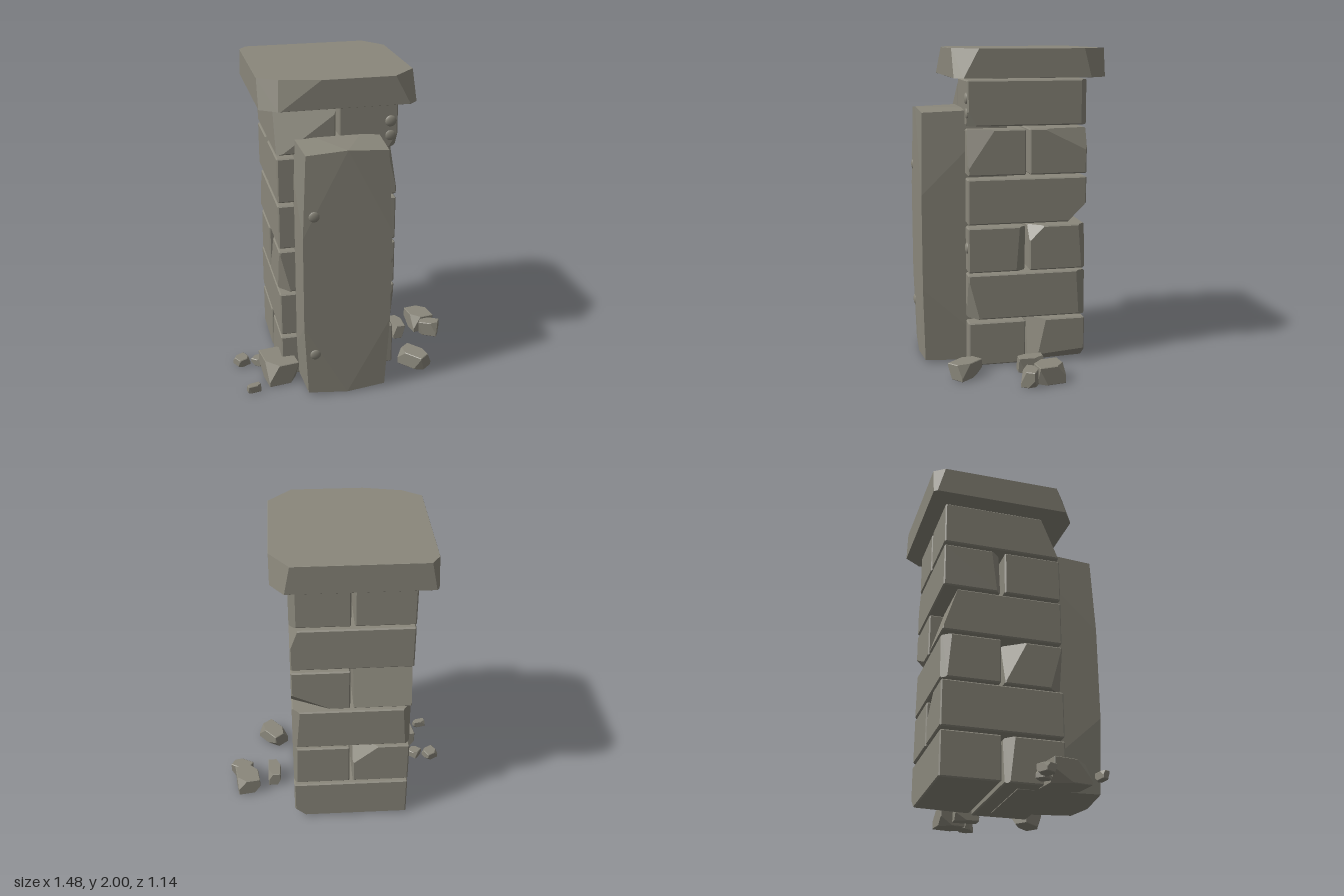
import * as THREE from 'three';
import { ConvexGeometry } from 'three/addons/geometries/ConvexGeometry.js';

const I = Infinity;

// The six faces of a box as corner loops
function boxFaces(lo, hi) {
  const faces = [];
  for (let a = 0; a < 3; a++) for (const top of [0, 1]) {
    const loop = [[0, 0], [1, 0], [1, 1], [0, 1]].map(([u, v]) => {
      const c = [0, 0, 0];
      c[a] = top ? hi[a] : lo[a];
      c[(a + 1) % 3] = u ? hi[(a + 1) % 3] : lo[(a + 1) % 3];
      c[(a + 2) % 3] = v ? hi[(a + 2) % 3] : lo[(a + 2) % 3];
      return new THREE.Vector3(...c);
    });
    faces.push(top ? loop : loop.reverse());
  }
  return faces;
}

// Cuts a corner off: sign picks the corner, d is the cut length along each axis
function chipOff(faces, lo, hi, [sign, d]) {
  const f = (p) => p.toArray().reduce((sum, v, i) =>
    sum + (sign[i] > 0 ? hi[i] - v : v - lo[i]) / d[i], -1);
  const rim = [];
  const addRim = (p) => {
    if (!rim.some((q) => q.distanceTo(p) < 1e-5)) rim.push(p);
  };
  const kept = [];
  for (const loop of faces) {
    const out = [];
    loop.forEach((p, i) => {
      const q = loop[(i + 1) % loop.length];
      const fp = f(p), fq = f(q);
      if (fp >= 0) out.push(p);
      if ((fp >= 0) !== (fq >= 0)) {
        const x = p.clone().lerp(q, fp / (fp - fq));
        out.push(x);
        addRim(x);
      }
    });
    if (out.length > 2) kept.push(out);
  }
  if (rim.length < 3) return kept;
  // Close the cut with a face wound around its outward normal
  const n = new THREE.Vector3(...sign.map((s, i) => s / d[i])).normalize();
  const centre = rim.reduce((c, p) => c.add(p), new THREE.Vector3()).divideScalar(rim.length);
  const u = rim[0].clone().sub(centre);
  const v = n.clone().cross(u);
  const angle = (p) => {
    const r = p.clone().sub(centre);
    return Math.atan2(r.dot(v), r.dot(u));
  };
  kept.push(rim.sort((p, q) => angle(p) - angle(q)));
  return kept;
}

// A bevelled block with chipped corners and flat faces
function stoneGeometry(lo, hi, bevel, chips) {
  let faces = boxFaces(lo, hi);
  for (let a = 0; a < 3; a++) for (const s of [-1, 1]) for (const t of [-1, 1]) {
    const sign = [1, 1, 1], d = [bevel, bevel, bevel];
    d[a] = I;
    sign[(a + 1) % 3] = s;
    sign[(a + 2) % 3] = t;
    faces = chipOff(faces, lo, hi, [sign, d]);
  }
  for (const chip of chips) faces = chipOff(faces, lo, hi, chip);
  const tris = [];
  for (const loop of faces) {
    for (let i = 1; i < loop.length - 1; i++) tris.push(loop[0], loop[i], loop[i + 1]);
  }
  const geometry = new THREE.BufferGeometry().setFromPoints(tris);
  geometry.computeVertexNormals();
  return geometry;
}

export function createModel() {
  const model = new THREE.Group();
  const stone = new THREE.MeshStandardMaterial({ color: 0x8a877b });
  stone.name = 'stone';
  const add = (name, geometry, parent = model) => {
    const mesh = new THREE.Mesh(geometry, stone);
    mesh.name = name;
    parent.add(mesh);
    return mesh;
  };

  // Brick courses of two bricks each, split in turn along z and x
  const X0 = -0.44, X1 = 0.305, Z0 = -0.47, Z1 = 0.285;
  const levels = [[0.01, 0.29], [0.31, 0.6], [0.615, 0.9], [0.92, 1.205], [1.225, 1.51], [1.53, 1.81]];
  // Chips for the back and front, or -x and +x, brick of each course
  const chips = [
    [[[[1, 1, 1], [0.1, 0.5, 0.11]], [[1, -1, -1], [0.08, 0.07, 0.9]]],
      [[[-1, 1, -1], [0.06, 0.5, 0.06]]]],
    [[[[1, 1, -1], [0.17, 0.14, 0.1]]],
      [[[1, -1, 1], [0.09, 0.27, 0.07]], [[1, 1, -1], [0.03, 0.9, 0.06]]]],
    [[[[1, 1, 1], [0.08, 0.1, 0.1]], [[1, 1, -1], [0.05, 0.6, 0.05]], [[-1, 1, -1], [0.05, 0.7, 0.06]]],
      [[[-1, -1, 1], [0.07, 0.29, 0.08]], [[1, -1, -1], [0.04, 0.8, 0.06]], [[-1, 1, -1], [0.1, 0.28, 0.14]]]],
    [[[[-1, 1, -1], [I, 0.28, 0.09]]],
      [[[1, -1, -1], [0.25, 0.12, 0.12]]]],
    [[[[1, 1, -1], [0.05, 0.14, 0.28]], [[-1, 1, 1], [0.06, 0.5, 0.06]]],
      [[[1, 1, 1], [0.06, 0.25, 0.17]]]],
    [[[[-1, 1, 1], [0.42, 0.3, 0.12]]],
      [[[1, 1, -1], [0.04, I, 0.04]], [[1, -1, 1], [0.06, 0.1, 0.06]]]],
  ];
  const courses = new THREE.Group();
  courses.name = 'brickCourses';
  model.add(courses);
  levels.forEach(([y0, y1], row) => {
    for (const k of [0, 1]) {
      const lo = [X0, y0, Z0], hi = [X1, y1, Z1];
      if (row % 2 === 0) k ? (lo[2] = -0.08) : (hi[2] = -0.105);
      else k ? (lo[0] = -0.057) : (hi[0] = -0.078);
      add('brick', stoneGeometry(lo, hi, 0.008, chips[row][k]), courses);
    }
  });

  // Cap stone with broken corners
  add('capStone', stoneGeometry([-0.54, 1.825, -0.57], [0.405, 2, 0.375], 0.001, [
    [[1, 1, 1], [0.145, 0.27, 0.145]],
    [[1, 1, -1], [0.115, 0.6, 0.155]],
    [[-1, 1, -1], [0.05, 0.25, 0.07]],
    [[-1, 1, 1], [0.36, 0.26, 0.075]],
    [[-1, 1, 1], [0.19, 0.4, 0.13]],
  ]));

  // Tall front slab, its front face swelling towards mid height
  const slab = [];
  const cx = -0.0675;
  for (const s of [-1, 1]) {
    for (const y of [0.005, 1.63]) slab.push(new THREE.Vector3(cx + s * 0.272, y, 0.02));
    for (const y of [0.5, 1.1]) slab.push(new THREE.Vector3(cx + s * 0.272, y, 0.56));
    for (const y of [0.025, 1.61]) slab.push(new THREE.Vector3(cx + s * 0.247, y, 0.547));
  }
  for (const y of [0.005, 1.63]) slab.push(new THREE.Vector3(cx, y, 0.56));
  add('frontSlab', new ConvexGeometry(slab));

  // Flattened studs on the slab and the bricks
  const stud = new THREE.SphereGeometry(0.035, 16, 10);
  for (const [x, y, z] of [[-0.27, 1.235, 0.555], [-0.27, 0.305, 0.555],
    [0.26, 1.7, 0.285], [0.26, 1.61, 0.28], [0.26, 0.77, 0.285]]) {
    const mesh = add('stud', stud);
    mesh.position.set(x, y, z);
    mesh.scale.z = 0.4;
  }

  // Fallen rubble: centre x, centre z, size, turn
  const rubble = [
    [-0.46, 0.27, [0.2, 0.145, 0.24], 0.15],
    [-0.68, 0.08, [0.085, 0.055, 0.085], 0.5],
    [-0.57, 0.1, [0.075, 0.05, 0.075], 0.9],
    [-0.645, 0.42, [0.085, 0.05, 0.045], 0.2],
    [0.44, -0.08, [0.085, 0.1, 0.16], 0],
    [0.445, 0.335, [0.12, 0.1, 0.19], 0.7],
    [0.625, -0.15, [0.15, 0.115, 0.17], 0.15],
    [0.665, -0.03, [0.13, 0.1, 0.09], -0.5],
  ];
  rubble.forEach(([x, z, [w, h, d], turn], i) => {
    const s = i % 2 ? 1 : -1;
    const rock = add('rubble', stoneGeometry([-w / 2, 0, -d / 2], [w / 2, h, d / 2], 0.004, [
      [[s, 1, 1], [w * 0.35, h * 0.8, d * 0.4]],
      [[-s, 1, -1], [w * 0.4, h * 0.6, d * 0.35]],
      [[-s, -1, 1], [w * 0.3, h * 0.9, d * 0.3]],
      [[s, -1, -1], [w * 0.3, h * 0.5, d * 0.5]],
    ]));
    rock.position.set(x, 0.002, z);
    rock.rotation.y = turn;
  });

  return model;
}
